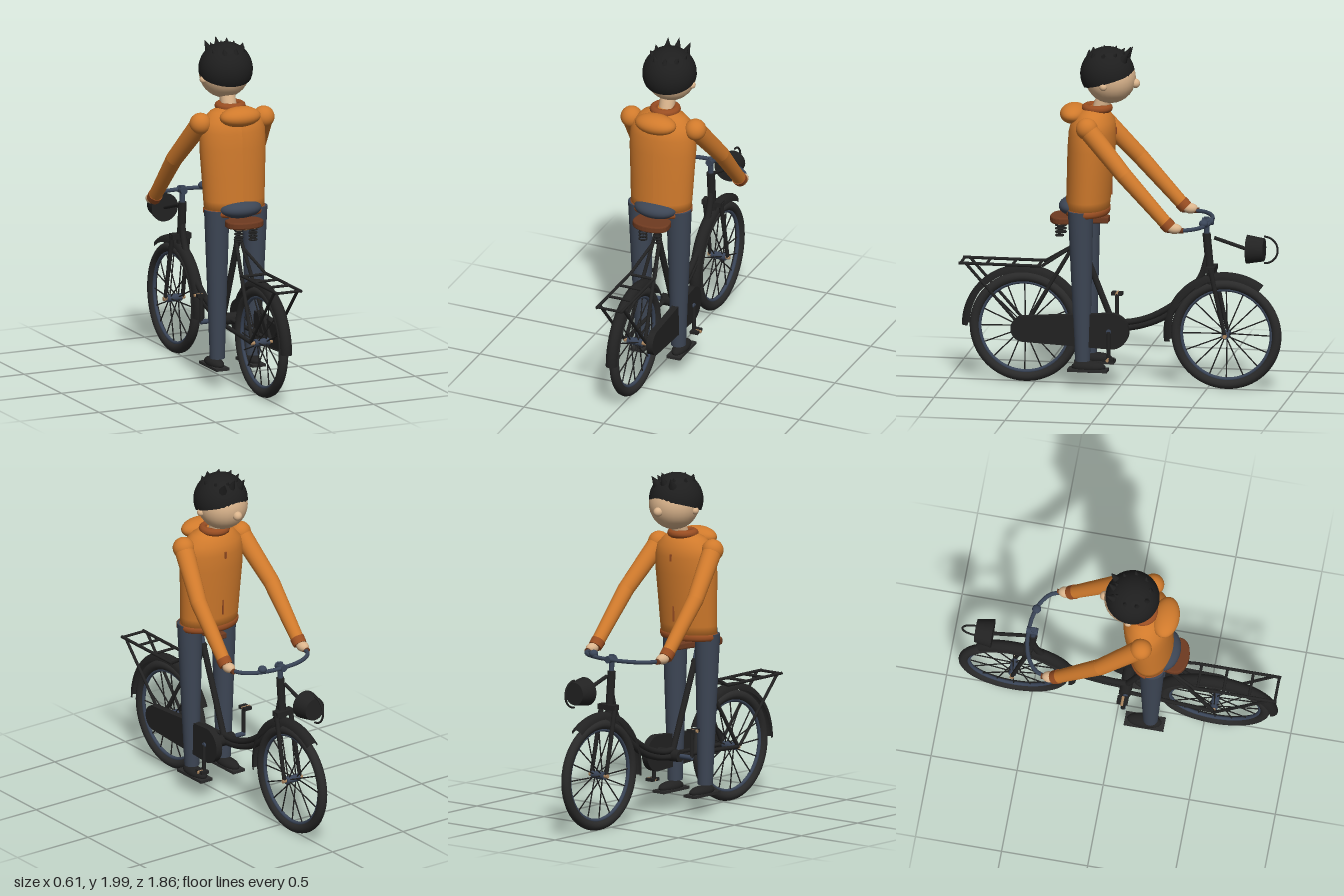
import * as THREE from 'three';

const mat = (name, color, double) => {
  const m = new THREE.MeshStandardMaterial({ color });
  m.name = name;
  if (double) m.side = THREE.DoubleSide;
  return m;
};
const V = (x, y, z) => new THREE.Vector3(x, y, z);

export function createModel() {
  const group = new THREE.Group();
  const black = mat('frameBlack', 0x222222, true), rubber = mat('rubber', 0x2a2a2a);
  const steel = mat('blueSteel', 0x3a4558), leather = mat('leather', 0x6e3a20);
  const denim = mat('denim', 0x3d4655), orange = mat('jacketOrange', 0xd07a2c);
  const rust = mat('trimRust', 0x9a4e22), skin = mat('skin', 0xdab48c);
  const hair = mat('hairBlack', 0x1e1e1e, true), brass = mat('brass', 0xb08a62);

  const add = (name, geo, m, x = 0, y = 0, z = 0) => {
    const mesh = new THREE.Mesh(geo, m);
    mesh.name = name;
    mesh.position.set(x, y, z);
    group.add(mesh);
    return mesh;
  };
  // Round bar between two points, optionally tapered
  const rod = (name, a, b, r1, m, r2 = r1, seg = 10) => {
    const d = b.clone().sub(a);
    const mesh = add(name, new THREE.CylinderGeometry(r2, r1, d.length(), seg), m);
    mesh.position.copy(a).add(b).multiplyScalar(0.5);
    mesh.quaternion.setFromUnitVectors(V(0, 1, 0), d.normalize());
    return mesh;
  };
  const ball = (name, x, y, z, rx, m, ry = rx, rz = rx) =>
    add(name, new THREE.SphereGeometry(1, 28, 18).scale(rx, ry, rz), m, x, y, z);
  const tube = (name, pts, r, m) =>
    add(name, new THREE.TubeGeometry(new THREE.CatmullRomCurve3(pts), 40, r, 10), m);

  // Wheels with tyre, rim, hub, spokes and a half-pipe mudguard
  const wheel = (label, z, phi0, phi1) => {
    const y = 0.33;
    add(label + 'Tyre', new THREE.TorusGeometry(0.292, 0.028, 12, 64).rotateY(Math.PI / 2), rubber, 0, y, z);
    add(label + 'Rim', new THREE.TorusGeometry(0.262, 0.011, 8, 64).rotateY(Math.PI / 2), steel, 0, y, z);
    rod(label + 'Hub', V(-0.045, y, z), V(0.045, y, z), 0.022, steel);
    rod(label + 'Axle', V(-0.068, y, z), V(0.068, y, z), 0.012, brass);
    for (let i = 0; i < 16; i++) {
      const a = (i / 16) * Math.PI * 2;
      const c = Math.cos(a), s = Math.sin(a);
      rod(label + 'Spoke', V(i % 2 ? 0.025 : -0.025, y + s * 0.02, z + c * 0.02),
        V(0, y + s * 0.26, z + c * 0.26), 0.004, black, 0.004, 5);
    }
    const profile = [];
    for (let i = 0; i <= 10; i++) {
      const t = (i / 10) * Math.PI;
      profile.push(new THREE.Vector2(0.325 + 0.04 * Math.sin(t), -0.035 * Math.cos(t)));
    }
    const guard = new THREE.LatheGeometry(profile, 48, phi0, phi1 - phi0).rotateZ(Math.PI / 2);
    add(label + 'Mudguard', guard, black, 0, y, z);
  };
  wheel('rear', 0.56, 0, 2.7);
  wheel('front', -0.61, -0.14, 2.2);

  // Step-through frame
  rod('seatTube', V(0, 0.35, 0.04), V(0, 0.88, 0.25), 0.018, black);
  rod('seatPost', V(0, 0.84, 0.235), V(0, 0.96, 0.27), 0.013, steel);
  rod('headTube', V(0, 0.6, -0.525), V(0, 0.92, -0.495), 0.024, black);
  tube('upperDownTube', [V(0, 0.8, -0.505), V(0, 0.66, -0.46), V(0, 0.53, -0.35), V(0, 0.42, -0.18),
    V(0, 0.38, -0.04), V(0, 0.38, 0.05)], 0.019, black);
  tube('lowerDownTube', [V(0, 0.66, -0.515), V(0, 0.55, -0.4), V(0, 0.42, -0.25), V(0, 0.36, -0.1),
    V(0, 0.34, 0.04)], 0.019, black);
  rod('bottomBracket', V(-0.06, 0.35, 0.045), V(0.1, 0.35, 0.045), 0.035, black);
  add('forkCrown', new THREE.BoxGeometry(0.12, 0.03, 0.05), black, 0, 0.715, -0.525);
  for (const s of [-1, 1]) {
    rod('forkLeg', V(s * 0.05, 0.72, -0.525), V(s * 0.055, 0.33, -0.61), 0.015, black, 0.011);
    rod('seatStay', V(s * 0.015, 0.87, 0.245), V(s * 0.06, 0.33, 0.56), 0.011, black);
    rod('chainStay', V(s * 0.04, 0.35, 0.045), V(s * 0.06, 0.33, 0.56), 0.012, black);
    // Luggage rack side
    rod('rackRail', V(s * 0.075, 0.705, 0.93), V(s * 0.075, 0.705, 0.45), 0.009, black);
    rod('rackArm', V(s * 0.075, 0.705, 0.45), V(s * 0.02, 0.82, 0.27), 0.009, black);
    rod('rackStay', V(s * 0.075, 0.705, 0.89), V(s * 0.07, 0.34, 0.565), 0.009, black);
  }
  for (const z of [0.92, 0.77, 0.62, 0.47])
    rod('rackCrossbar', V(-0.075, 0.705, z), V(0.075, 0.705, z), 0.008, black);

  // Chain case: two unequal round ends
  const cc = new THREE.Shape();
  cc.absarc(-0.04, 0.35, 0.105, -1.51, 1.51, false);
  cc.absarc(-0.545, 0.345, 0.075, 1.51, 2 * Math.PI - 1.51, false);
  const ccGeo = new THREE.ExtrudeGeometry(cc, { depth: 0.04, bevelEnabled: false, curveSegments: 24 });
  add('chainCase', ccGeo.rotateY(Math.PI / 2), black, 0.095, 0, 0);

  // Cranks and pedals
  for (const s of [-1, 1]) {
    const y = 0.35 - s * 0.16;
    rod('crankAxle', V(0, 0.35, 0.05), V(s * 0.145, 0.35, 0.05), 0.014, steel);
    rod('crank', V(s * 0.14, 0.35, 0.05), V(s * 0.14, y, 0.05), 0.011, black);
    rod('pedalAxle', V(s * 0.13, y, 0.05), V(s * 0.185, y, 0.05), 0.009, brass);
    for (const e of [-1, 1])
      add('pedalBlock', new THREE.BoxGeometry(0.05, 0.018, 0.024), black, s * 0.152, y, 0.05 + e * 0.02);
  }

  // Saddle with coil springs
  const sd = new THREE.Shape();
  sd.moveTo(-0.025, 0.08);
  sd.bezierCurveTo(-0.03, 0.23, -0.1, 0.24, -0.1, 0.34);
  sd.bezierCurveTo(-0.1, 0.42, 0.1, 0.42, 0.1, 0.34);
  sd.bezierCurveTo(0.1, 0.24, 0.03, 0.23, 0.025, 0.08);
  const sdGeo = new THREE.ExtrudeGeometry(sd, { depth: 0.022, bevelSize: 0.01, bevelThickness: 0.009, bevelSegments: 3 });
  add('saddle', sdGeo.rotateX(Math.PI / 2), leather, 0, 0.99, 0);
  rod('saddleBar', V(-0.06, 0.95, 0.35), V(0.06, 0.95, 0.35), 0.008, brass);
  for (const s of [-1, 1]) for (let i = 0; i < 4; i++)
    add('saddleSpring', new THREE.TorusGeometry(0.022, 0.005, 6, 18).rotateX(Math.PI / 2), black, s * 0.045, 0.885 + i * 0.02, 0.35);

  // Handlebar, grips and bell
  rod('stem', V(0, 0.88, -0.498), V(0, 1.015, -0.495), 0.016, steel);
  rod('stemClamp', V(0, 0.99, -0.47), V(0, 0.99, -0.535), 0.022, steel);
  tube('handlebar', [V(-0.26, 0.99, -0.38), V(-0.235, 0.99, -0.44), V(-0.17, 0.99, -0.49), V(-0.08, 0.99, -0.517),
    V(0, 0.99, -0.522), V(0.08, 0.99, -0.517), V(0.17, 0.99, -0.49), V(0.235, 0.99, -0.44), V(0.26, 0.99, -0.38)], 0.012, steel);
  ball('bell', 0.13, 1.005, -0.5, 0.026, steel, 0.022);

  // Bucket-shaped lamp on its bracket, with a wire hoop
  rod('lampBracket', V(0, 0.895, -0.54), V(0, 0.835, -0.73), 0.011, black);
  rod('lampBody', V(0, 0.835, -0.73), V(0, 0.835, -0.83), 0.083, black, 0.066, 24);
  add('lampHoop', new THREE.TorusGeometry(0.078, 0.006, 8, 30, Math.PI).rotateZ(-Math.PI / 2).rotateY(Math.PI / 2),
    black, 0, 0.835, -0.83);

  // Jacket body: oval lathe leaning slightly forward
  const lean = (pts) => {
    const g = new THREE.LatheGeometry(pts.map(([r, y]) => new THREE.Vector2(r, y)), 40).scale(1, 1, 0.68);
    const p = g.attributes.position;
    for (let i = 0; i < p.count; i++) p.setZ(i, p.getZ(i) + 0.195 - (p.getY(i) - 1.02) * 0.06);
    g.computeVertexNormals();
    return g;
  };
  add('jacketBody', lean([[0, 1.03], [0.18, 1.03], [0.185, 1.1], [0.192, 1.25], [0.2, 1.4], [0.198, 1.5],
    [0.18, 1.56], [0.13, 1.61], [0.06, 1.64], [0, 1.64]]), orange);
  add('jacketHem', lean([[0, 1.015], [0.182, 1.015], [0.188, 1.03], [0.187, 1.05], [0.17, 1.055]]), rust);
  add('collar', new THREE.TorusGeometry(0.066, 0.024, 10, 28).rotateX(Math.PI / 2), rust, 0, 1.632, 0.14);
  ball('hood', 0, 1.595, 0.275, 0.125, orange, 0.058, 0.078);
  add('zipTop', new THREE.BoxGeometry(0.012, 0.04, 0.008), rust, 0, 1.5, 0.03);
  add('zipBottom', new THREE.BoxGeometry(0.01, 0.09, 0.008), rust, 0, 1.17, 0.056);

  // Limbs
  for (const s of [-1, 1]) {
    const shoulder = V(s * 0.2, 1.55, 0.165), elbow = V(s * 0.258, 1.3, -0.06), wrist = V(s * 0.262, 1.025, -0.31);
    ball('shoulder', ...shoulder.toArray(), 0.063, orange);
    rod('upperArm', shoulder, elbow, 0.057, orange, 0.048, 24);
    ball('elbow', ...elbow.toArray(), 0.048, orange);
    rod('forearm', elbow, wrist, 0.048, orange, 0.038, 24);
    rod('cuff', V(s * 0.262, 1.035, -0.3), V(s * 0.262, 1.005, -0.33), 0.042, rust, 0.04, 24);
    ball('hand', s * 0.262, 1.0, -0.355, 0.033, skin, 0.03, 0.043);
    rod('grip', V(s * 0.262, 0.99, -0.31), V(s * 0.26, 0.99, -0.405), 0.017, leather);

    rod('trouserLeg', V(s * 0.112, 0.17, 0.205), V(s * 0.12, 1.05, 0.215), 0.043, denim, 0.073, 28);
    ball('shoeUpper', s * 0.115, 0.135, 0.17, 0.043, black, 0.034, 0.1);
    add('shoeSole', new THREE.BoxGeometry(0.084, 0.016, 0.23), rubber, s * 0.115, 0.118, 0.172);
  }
  ball('hips', 0, 1.055, 0.27, 0.13, denim, 0.055, 0.09);

  // Head, with hair cap tilted back and a few tufts
  rod('neck', V(0, 1.6, 0.13), V(0, 1.72, 0.09), 0.047, skin, 0.045, 20);
  ball('face', 0, 1.81, 0.062, 0.145, skin);
  ball('nose', 0, 1.783, -0.082, 0.027, skin);
  for (const s of [-1, 1]) ball('ear', s * 0.14, 1.785, 0.08, 0.022, skin);
  const cap = add('hairCap', new THREE.SphereGeometry(0.156, 36, 22, 0, Math.PI * 2, 0, 1.79), hair, 0, 1.835, 0.08);
  cap.rotation.x = 0.3;
  for (let i = -1; i <= 1; i++)
    rod('fringeTuft', V(i * 0.055, 1.92, -0.015), V(i * 0.07, 1.995 - Math.abs(i) * 0.015, -0.055), 0.03, hair, 0.001, 8);
  for (let i = 0; i < 9; i++) {
    const a = (i / 9) * Math.PI * 2, c = Math.cos(a), k = Math.sin(a);
    rod('smallTuft', V(c * 0.09, 1.94, 0.09 + k * 0.09), V(c * 0.11, 1.975, 0.08 + k * 0.105), 0.022, hair, 0.001, 6);
  }
  return group;
}
